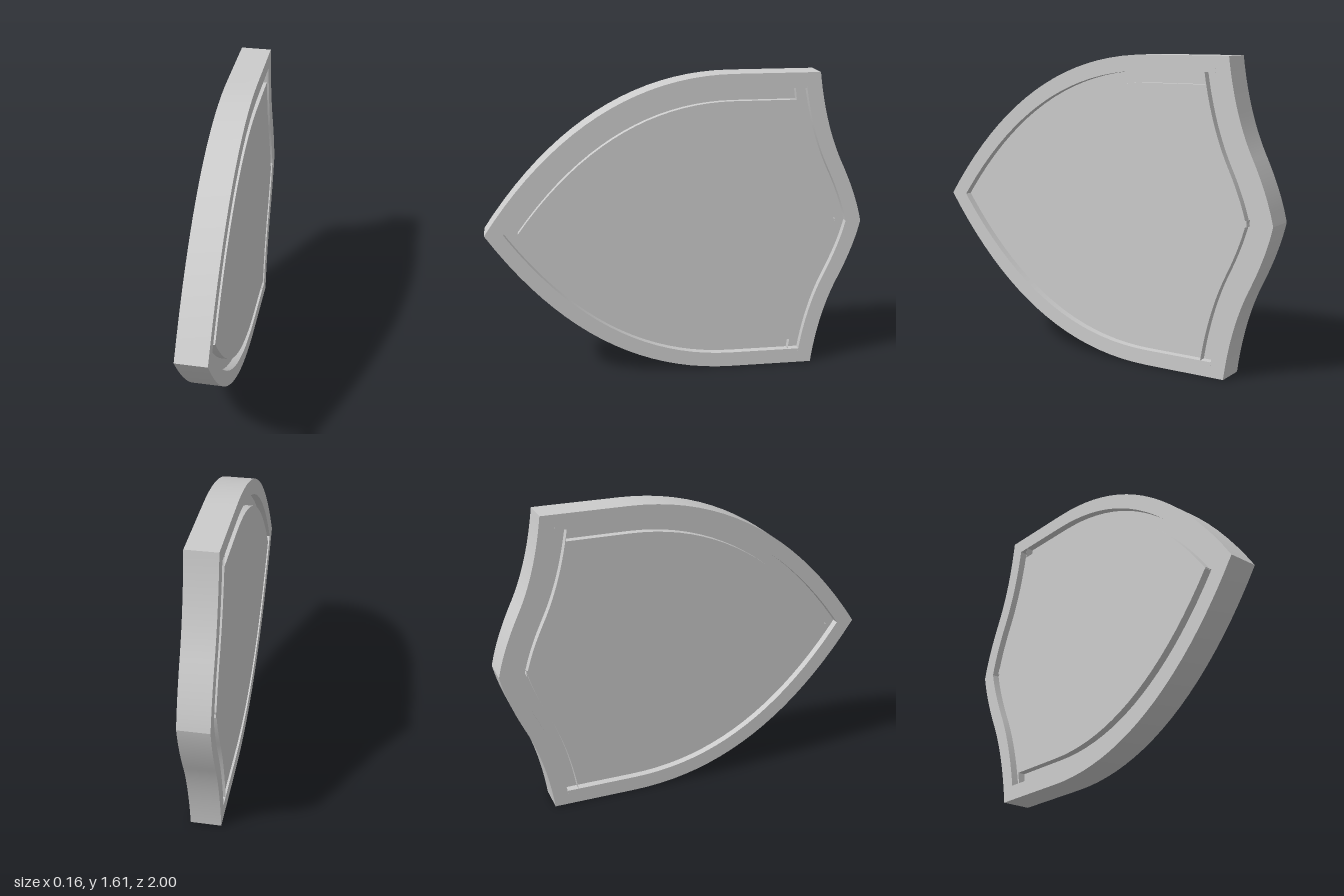
import * as THREE from 'three';
import { toCreasedNormals } from 'three/addons/utils/BufferGeometryUtils.js';

const MID = 0.805; // height of the symmetry line

// Closed outline in (z, y): upper half from the front tip to the back tip, then mirrored
function shieldOutline() {
  const path = new THREE.Path();
  path.moveTo(1, 0);
  path.quadraticCurveTo(0.46, 0.805, -0.3, 0.805);
  path.lineTo(-0.75, 0.805);
  path.quadraticCurveTo(-0.785, 0.53, -0.88, 0.33);
  path.quadraticCurveTo(-0.97, 0.145, -1, 0);
  const upper = path.getPoints(20);
  const lower = upper.slice(1, -1).reverse().map((p) => new THREE.Vector2(p.x, -p.y));
  return [...upper, ...lower];
}

// Move every edge of a counter-clockwise outline inward by d, with mitred corners
function inset(points, d) {
  const n = points.length;
  return points.map((p, i) => {
    const a = p.clone().sub(points[(i + n - 1) % n]).normalize();
    const b = points[(i + 1) % n].clone().sub(p).normalize();
    const na = new THREE.Vector2(-a.y, a.x);
    const nb = new THREE.Vector2(-b.y, b.x);
    const k = d / (1 + na.dot(nb));
    return p.clone().add(na.add(nb).multiplyScalar(k));
  });
}

// Plate of the given thickness, centred on x = 0, with an optional opening
function plate(name, outer, hole, thickness, material) {
  const shape = new THREE.Shape(outer);
  if (hole) shape.holes.push(new THREE.Path(hole));
  let geo = new THREE.ExtrudeGeometry(shape, { depth: thickness, bevelEnabled: false });
  geo.translate(0, MID, -thickness / 2);
  geo.rotateY(-Math.PI / 2);
  geo = toCreasedNormals(geo, 0.35);
  const mesh = new THREE.Mesh(geo, material);
  mesh.name = name;
  return mesh;
}

export function createModel() {
  const group = new THREE.Group();
  group.name = 'shield';
  const material = new THREE.MeshStandardMaterial({ color: 0xcccccc });

  const outer = shieldOutline();
  const rimInner = inset(outer, 0.08);
  const panelEdge = inset(outer, 0.14);

  group.add(
    plate('rim', outer, rimInner, 0.16, material),
    // thinner web forms the groove floor on both sides
    plate('grooveFloor', rimInner, panelEdge, 0.08, material),
    plate('panel', panelEdge, null, 0.16, material),
  );
  return group;
}
